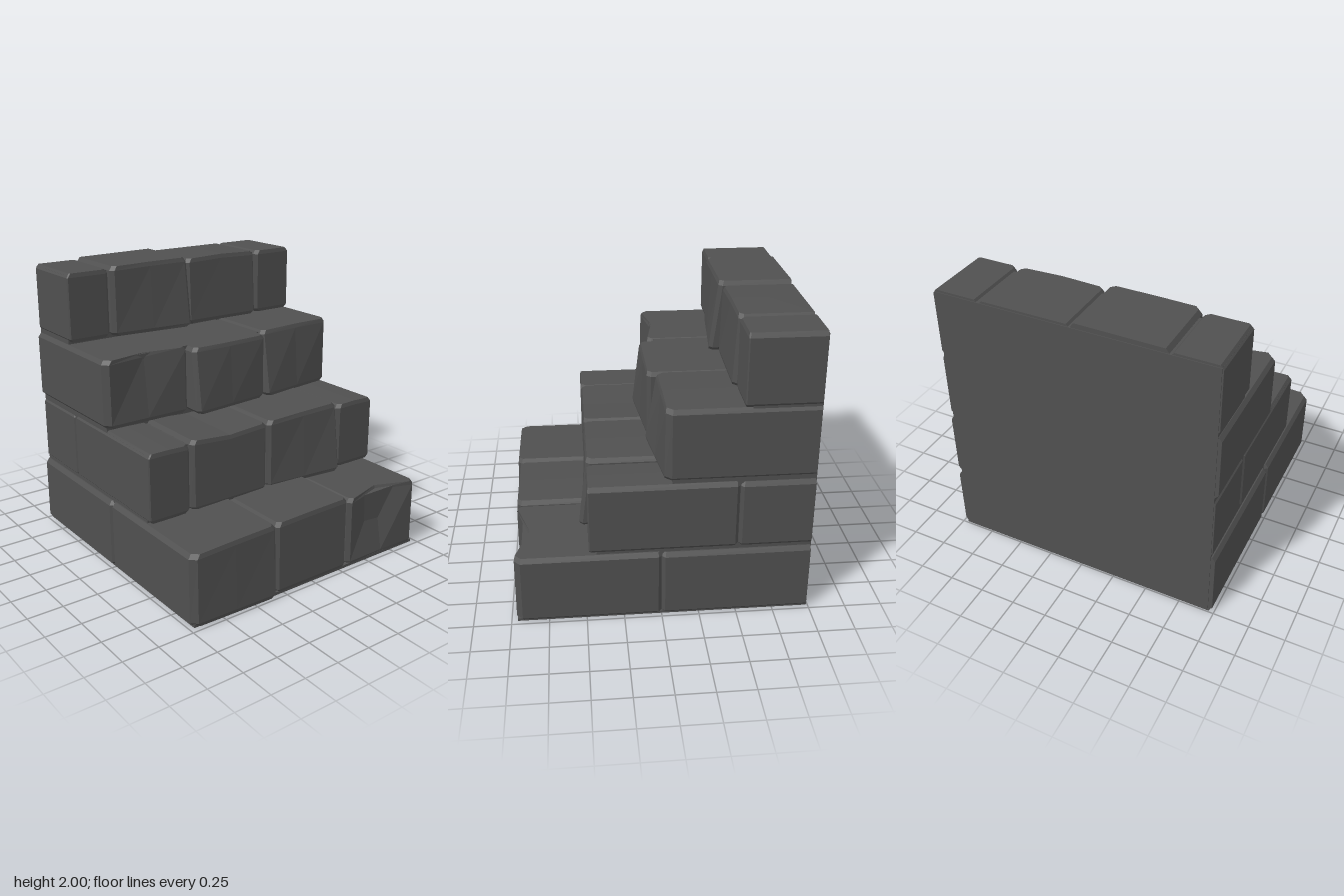
import * as THREE from 'three';

const stone = new THREE.MeshStandardMaterial({ color: 0x505050, flatShading: true });
stone.name = 'dark stone';

const BACK = -0.985;
const lerp = THREE.MathUtils.lerp;

// One chamfered block, lofted through four horizontal rings.
// tops: heights at left, middle, right; foot: front z at bottom left and right.
function block(x0, x1, y0, tops, zBack, zTop, foot, dent, cl, cr) {
  const xm = (x0 + x1) / 2;
  const backCut = zBack < -0.9 ? 0.001 : 0.02;
  const pos = [], idx = [];
  const topAt = (x) => {
    const u = (x - x0) / (x1 - x0);
    return u < 0.5 ? lerp(tops[0], tops[1], u * 2) : lerp(tops[1], tops[2], u * 2 - 1);
  };
  const rings = [[0, 0.022], [0.05, 0], [0.94, 0], [1, 0.022]]; // height share, side inset
  for (const [t, inset] of rings) {
    const a = x0 + inset, b = x1 - inset;
    const front = (x) => lerp(lerp(foot[0], foot[1], (x - x0) / (x1 - x0)), zTop, t) - inset * 0.3;
    const outline = [
      [a + backCut, zBack], [a, zBack + backCut],
      [a, front(a) - cl], [a + cl, front(a + cl)],
      [xm, front(xm) - dent * t],
      [b - cr, front(b - cr)], [b, front(b) - cr],
      [b, zBack + backCut], [b - backCut, zBack],
    ];
    for (const [x, z] of outline) pos.push(x, lerp(y0, topAt(x), t), z);
  }
  const n = 9, last = n * (rings.length - 1);
  const zm = (zBack + zTop) / 2;
  pos.push(xm, y0, zm, xm, tops[1], zm);
  const low = n * rings.length, high = low + 1;
  for (let j = 0; j < n; j++) {
    const k = (j + 1) % n;
    for (let r = 0; r < last; r += n) idx.push(r + j, r + k, r + n + k, r + j, r + n + k, r + n + j);
    idx.push(low, k, j, high, last + j, last + k);
  }
  const g = new THREE.BufferGeometry();
  g.setAttribute('position', new THREE.Float32BufferAttribute(pos, 3));
  g.setIndex(idx);
  const flat = g.toNonIndexed();
  flat.computeVertexNormals();
  return flat;
}

// Blocks per step: x range, top heights, front z at top, front z at foot, dent in top edge
const steps = [
  { y: 0.01, front: 0.96, split: 0, blocks: [
    { x: [-0.985, -0.323], tops: [0.5, 0.515, 0.525], z: 0.975, foot: [0.98, 0.995], dent: 0 },
    { x: [-0.317, 0.317], tops: [0.515, 0.525, 0.53], z: 0.96, foot: [0.965, 0.965], dent: 0 },
    { x: [0.323, 0.985], tops: [0.51, 0.5, 0.49], z: 0.96, foot: [0.965, 0.965], dent: 0.09 },
  ] },
  { y: 0.51, front: 0.47, split: -0.5, blocks: [
    { x: [-0.965, -0.643], tops: [0.99, 0.99, 0.985], z: 0.475, foot: [0.475, 0.475], dent: 0 },
    { x: [-0.637, -0.003], tops: [1.005, 0.98, 1], z: 0.47, foot: [0.475, 0.475], dent: 0 },
    { x: [0.003, 0.637], tops: [1, 1.01, 1.015], z: 0.47, foot: [0.47, 0.535], dent: 0 },
    { x: [0.643, 0.98], tops: [0.99, 0.995, 0.99], z: 0.475, foot: [0.475, 0.475], dent: 0 },
  ] },
  { y: 1.01, front: -0.02, blocks: [
    { x: [-0.98, -0.323], tops: [1.48, 1.48, 1.48], z: -0.02, foot: [-0.015, -0.015], dent: 0.05 },
    { x: [-0.317, 0.317], tops: [1.475, 1.475, 1.48], z: 0.04, foot: [0.1, 0.04], dent: 0 },
    { x: [0.323, 0.97], tops: [1.49, 1.5, 1.5], z: -0.02, foot: [0.06, -0.02], dent: 0 },
  ] },
  { y: 1.5, front: -0.51, blocks: [
    { x: [-0.965, -0.643], tops: [1.98, 1.98, 1.98], z: -0.505, foot: [-0.505, -0.505], dent: 0 },
    { x: [-0.637, -0.003], tops: [1.995, 2, 2], z: -0.485, foot: [-0.485, -0.42], dent: 0 },
    { x: [0.003, 0.637], tops: [1.98, 1.99, 1.98], z: -0.505, foot: [-0.49, -0.48], dent: 0 },
    { x: [0.643, 0.97], tops: [1.98, 1.98, 1.98], z: -0.505, foot: [-0.505, -0.505], dent: 0 },
  ] },
];

export function createModel() {
  const model = new THREE.Group();
  model.name = 'stoneSteps';

  const add = (parent, geometry, name) => {
    const mesh = new THREE.Mesh(geometry, stone);
    mesh.name = name;
    parent.add(mesh);
  };

  steps.forEach(({ y, front, split, blocks }, s) => {
    const step = new THREE.Group();
    step.name = `step${s + 1}`;
    model.add(step);

    // Recessed core that closes the joints and forms the flat back wall
    const depth = front - 0.045 + 0.99;
    const core = new THREE.BoxGeometry(1.91, 0.5, depth);
    core.translate(0, y + 0.215, -0.99 + depth / 2);
    if (s === 0) core.translate(0, 0.035, 0).scale(1, 0.94, 1).translate(0, 0.0, 0);
    add(step, core, 'core');

    blocks.forEach(({ x, tops, z, foot, dent }, i) => {
      const outer = s % 2 ? 0.008 : 0.04;
      const cl = i === 0 ? outer : 0.027;
      const cr = i === blocks.length - 1 ? outer : 0.027;
      const cut = split === undefined ? BACK : split + 0.002;
      add(step, block(x[0], x[1], y, tops, cut, z, foot, dent, cl, cr), 'frontBlock');
      // Second course of blocks behind the side joint
      if (split !== undefined) {
        const zf = split - 0.002;
        add(step, block(x[0], x[1], y, tops.map((t) => t - 0.005), BACK, zf, [zf, zf], 0, 0.02, 0.02), 'backBlock');
      }
    });
  });

  // Thin slab that closes the underside
  const base = new THREE.BoxGeometry(1.93, 0.02, 1.95);
  base.translate(0, 0.012, -0.015);
  add(model, base, 'base');
  return model;
}
